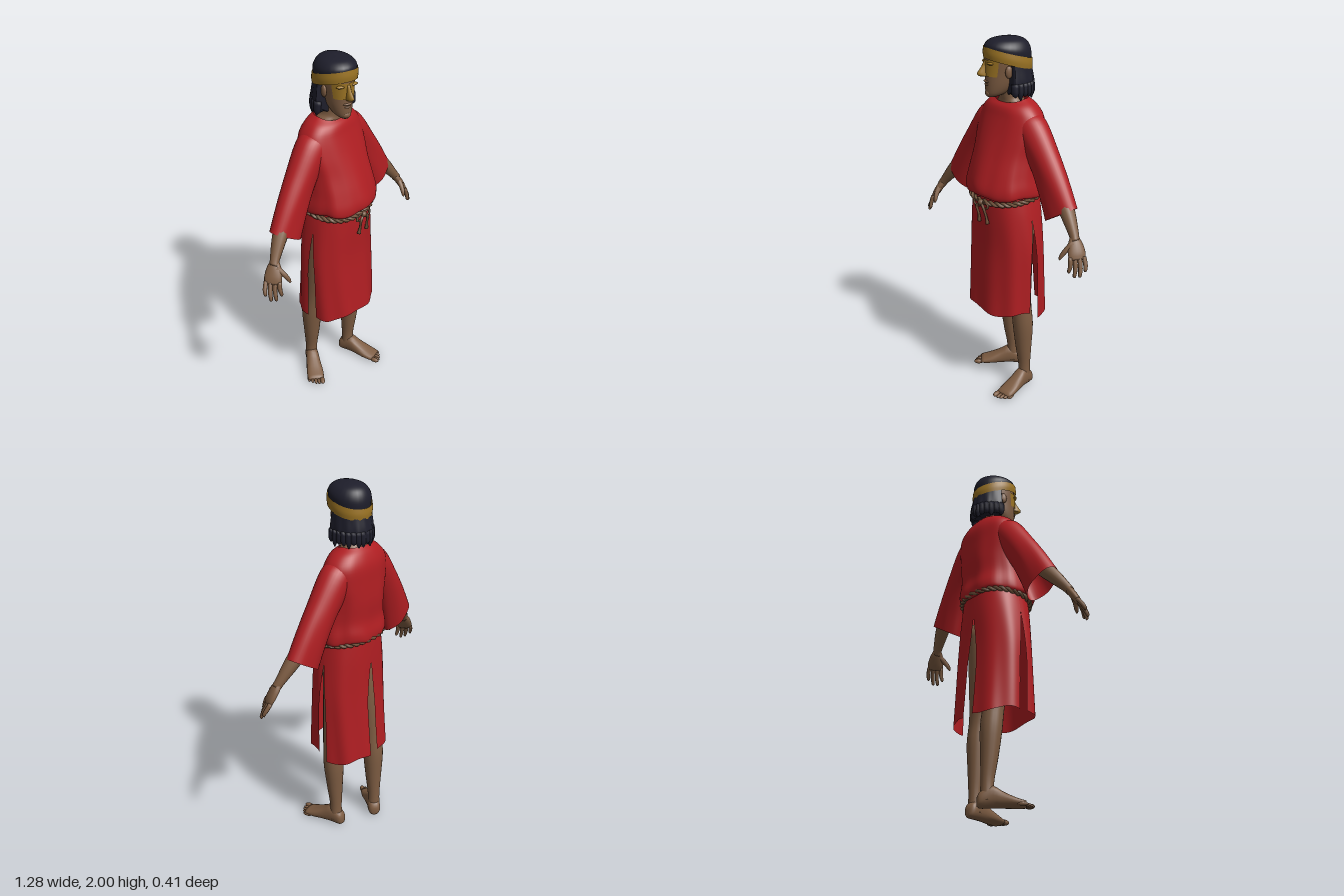
import * as THREE from 'three';

const paint = (name, color, open) => {
  const m = new THREE.MeshStandardMaterial({ color });
  m.name = name;
  if (open) m.side = THREE.DoubleSide;
  return m;
};
const X = new THREE.Vector3(1, 0, 0), Y = new THREE.Vector3(0, 1, 0), Z = new THREE.Vector3(0, 0, 1);
const soft = (c, p) => Math.sign(c) * Math.abs(c) ** p;

// Smooth skin through rings [x, y, z, a, b]; a and b are the radii along u and v.
// warp(angle, t) gives [scaleU, scaleV, dy]; arc(t) gives an open range of angles.
function loft(name, mat, rings, { u = X, v = Z, seg = 28, rows = 24, p = 1, warp, arc, caps = true } = {}) {
  const mid = new THREE.CatmullRomCurve3(rings.map(r => new THREE.Vector3(r[0], r[1], r[2])), false, 'catmullrom');
  const rad = new THREE.CatmullRomCurve3(rings.map(r => new THREE.Vector3(r[3], r[4], 0)), false, 'catmullrom');
  const pos = [], idx = [], w = seg + (arc ? 1 : 0);
  const flow = mid.getPoint(1).sub(mid.getPoint(0));
  const outward = new THREE.Vector3().crossVectors(u, v).dot(flow) > 0;
  const tri = (a, b, c) => outward ? idx.push(a, b, c) : idx.push(a, c, b);
  for (let i = 0; i <= rows; i++) {
    const t = i / rows, c = mid.getPoint(t), r = rad.getPoint(t);
    const [a0, a1] = arc ? arc(t) : [0, Math.PI * 2];
    for (let j = 0; j < w; j++) {
      const th = a0 + (a1 - a0) * j / seg;
      const [su, sv, dy] = warp ? warp(th, t) : [1, 1, 0];
      const q = c.clone().addScaledVector(u, r.x * su * soft(Math.cos(th), p))
        .addScaledVector(v, r.y * sv * soft(Math.sin(th), p));
      pos.push(q.x, q.y + dy, q.z);
    }
  }
  for (let i = 0; i < rows; i++) for (let j = 0; j < seg; j++) {
    const a = i * w + j, b = i * w + (j + 1) % w;
    tri(a, b, a + w);
    tri(b, b + w, a + w);
  }
  if (caps && !arc) for (const i of [0, rows]) {
    const c = mid.getPoint(i / rows), k = pos.length / 3;
    pos.push(c.x, c.y, c.z);
    for (let j = 0; j < seg; j++) {
      const a = i * w + j, b = i * w + (j + 1) % w;
      i ? tri(a, b, k) : tri(b, a, k);
    }
  }
  const g = new THREE.BufferGeometry();
  g.setAttribute('position', new THREE.Float32BufferAttribute(pos, 3));
  g.setIndex(idx);
  g.computeVertexNormals();
  const m = new THREE.Mesh(g, mat);
  m.name = name;
  return m;
}

// Round limb through points [x, y, z, r]
function limb(name, mat, pts, seg = 14, rows = 14) {
  const d = new THREE.Vector3(...pts.at(-1).slice(0, 3)).sub(new THREE.Vector3(...pts[0].slice(0, 3))).normalize();
  const u = new THREE.Vector3().crossVectors(Math.abs(d.z) > 0.9 ? Y : Z, d).normalize();
  const v = new THREE.Vector3().crossVectors(d, u);
  return loft(name, mat, pts.map(q => [...q, q[3]]), { u, v, seg, rows });
}

function ball(name, mat, x, y, z, sx, sy, sz) {
  const m = new THREE.Mesh(new THREE.SphereGeometry(1, 14, 10), mat);
  m.name = name;
  m.position.set(x, y, z);
  m.scale.set(sx, sy, sz);
  return m;
}

export function createModel() {
  const model = new THREE.Group();
  model.name = 'robedMan';
  const red = paint('redCloth', 0xb01e22, true), skin = paint('skin', 0x7d5c42);
  const hair = paint('hair', 0x1e1e2b), gold = paint('gold', 0x9c7424, true), rope = paint('rope', 0x70523a);

  // Blouse: loose top that bags out over the belt
  model.add(loft('blouse', red, [
    [0, 1.685, -0.05, 0.095, 0.07], [0, 1.65, -0.053, 0.155, 0.095], [0, 1.59, -0.055, 0.2, 0.115],
    [0, 1.5, -0.042, 0.208, 0.134], [0, 1.4, -0.025, 0.198, 0.155], [0, 1.3, -0.005, 0.202, 0.172],
    [0, 1.225, 0, 0.212, 0.189], [0, 1.185, 0, 0.208, 0.184], [0, 1.175, -0.005, 0.18, 0.152],
  ], {
    seg: 64, rows: 40, p: 0.9, caps: false,
    warp: (a, t) => {
      const k = 1 + 0.022 * t * Math.sin(7 * a + 4 * t) + 0.012 * t * Math.sin(13 * a);
      return [k, k, (t < 0.2 ? -0.02 * Math.max(0, Math.sin(a)) * (1 - t / 0.2) : 0) + 0.008 * t * Math.sin(5 * a)];
    },
  }));

  // Skirt: front panel and two back panels with slits between them
  const P = Math.PI;
  const panel = (name, from, to, hem) => model.add(loft(name, red, [
    [0, 1.19, -0.01, 0.18, 0.155], [0, 1.06, -0.012, 0.203, 0.157], [0, 0.88, -0.014, 0.222, 0.157],
    [0, 0.68, -0.014, 0.224, 0.169], [0, hem, -0.015, 0.222, 0.184],
  ], {
    seg: 36, p: 0.85,
    arc: t => { const gap = 0.1 * Math.min(1, Math.max(0, (t - 0.28) * 3)); return [from + gap, to - gap]; },
    warp: (a, t) => {
      const k = 1 + 0.022 * t * Math.sin(9 * a + 2 * t);
      return [k, k, 0.012 * t * t * Math.sin(4 * a)];
    },
  }));
  panel('frontSkirtPanel', 0, P, 0.505);
  panel('rightBackSkirtPanel', P, 1.5 * P, 0.49);
  panel('leftBackSkirtPanel', 1.5 * P, 2 * P, 0.47);

  // Belt: two twisted cords, with a knot, loops and loose ends
  for (const phase of [0, P]) {
    const pts = [];
    for (let i = 0; i < 96; i++) {
      const a = i / 96 * 2 * P, q = a * 16 + phase, r = 0.007 * Math.cos(q);
      pts.push(new THREE.Vector3((0.195 + r) * soft(Math.cos(a), 0.9),
        1.168 - 0.018 * Math.sin(a) + 0.007 * Math.sin(q), -0.008 + (0.167 + r) * soft(Math.sin(a), 0.9)));
    }
    const cord = new THREE.Mesh(new THREE.TubeGeometry(new THREE.CatmullRomCurve3(pts, true), 192, 0.009, 6, true), rope);
    cord.name = 'beltCord';
    model.add(cord);
  }
  model.add(ball('beltKnot', rope, 0, 1.145, 0.17, 0.018, 0.016, 0.016));
  for (const s of [-1, 1]) {
    model.add(limb('beltEnd', rope, [[0, 1.145, 0.17, 0.007], [s * 0.028, 1.12, 0.175, 0.008],
      [s * 0.03 + 0.008, 1.07, 0.165, 0.007], [s * 0.034 + 0.008, 1.03, 0.16, 0.011]], 8));
    const loop = new THREE.Mesh(new THREE.TorusGeometry(0.022, 0.006, 6, 16), rope);
    loop.name = 'beltLoop';
    loop.position.set(s * 0.03, 1.135, 0.168);
    loop.scale.set(1.2, 0.8, 1);
    model.add(loop);
  }

  // Arms: bell sleeves, forearms and hands
  for (const s of [-1, 1]) {
    const arm = new THREE.Group();
    arm.name = s > 0 ? 'leftArm' : 'rightArm';
    arm.add(loft('sleeve', red, [
      [s * 0.08, 1.6, -0.052, 0.06, 0.06], [s * 0.14, 1.545, -0.052, 0.094, 0.083], [s * 0.255, 1.395, -0.048, 0.092, 0.075],
      [s * 0.33, 1.27, -0.042, 0.1, 0.07], [s * 0.395, 1.14, -0.035, 0.112, 0.065],
    ], {
      u: new THREE.Vector3(s * 0.85, 0.53, 0), v: Z, seg: 36, caps: false,
      warp: (a, t) => { const k = 1 + 0.035 * t * Math.sin(5 * a + 5 * t); return [1, k, 0]; },
    }));
    const L = pts => pts.map(q => [s * q[0], ...q.slice(1)]);
    arm.add(limb('forearm', skin, L([[0.3, 1.36, -0.045, 0.045], [0.4, 1.235, -0.035, 0.045],
      [0.465, 1.16, -0.018, 0.038], [0.525, 1.085, 0.002, 0.026], [0.545, 1.055, 0.012, 0.024]])));
    arm.add(loft('palm', skin, L([[0.53, 1.08, 0.005, 0.02, 0.018], [0.55, 1.045, 0.015, 0.038, 0.021],
      [0.572, 1.005, 0.026, 0.046, 0.019], [0.586, 0.975, 0.034, 0.042, 0.013]]), {
      u: new THREE.Vector3(s * -0.5, 0, 0.86), v: new THREE.Vector3(s * 0.8, 0.36, 0.46), seg: 16, rows: 10,
    }));
    const tips = [[0.572, 0.91, 0.078], [0.6, 0.89, 0.066], [0.622, 0.895, 0.05], [0.632, 0.92, 0.022]];
    tips.forEach(([x, y, z], i) => {
      const k = 1.5 - i, bx = 0.582 - k * 0.012, bz = 0.032 + k * 0.02;
      arm.add(limb('finger', skin, L([[bx, 0.988, bz, 0.012], [(bx + x) / 2 + 0.006, (0.988 + y) / 2, (bz + z) / 2, 0.0115],
        [x, y + 0.01, z, 0.009], [x, y, z, 0.004]]), 8, 8));
    });
    arm.add(limb('thumb', skin, L([[0.545, 1.05, 0.025, 0.018], [0.53, 1.015, 0.062, 0.014],
      [0.518, 0.985, 0.082, 0.011], [0.514, 0.967, 0.09, 0.005]]), 8, 8));
    model.add(arm);
  }

  // Legs and bare feet: the left leg stands ahead of the right
  const leg = (name, hip, knee, calf, ankle, turn) => {
    const g = new THREE.Group();
    g.name = name;
    g.add(limb('shin', skin, [[hip[0], 1.05, hip[1], 0.085], [hip[0], 0.8, (hip[1] + knee[1]) / 2, 0.08],
      [knee[0], 0.55, knee[1], 0.058], [calf[0], 0.4, calf[1], 0.057], [(calf[0] + ankle[0]) / 2, 0.25, (calf[1] + ankle[1]) / 2, 0.045],
      [ankle[0], 0.13, ankle[1], 0.034], [ankle[0], 0.03, ankle[1], 0.036]], 20, 24));
    const foot = new THREE.Group();
    foot.name = 'foot';
    foot.position.set(ankle[0], 0, ankle[1]);
    foot.rotation.y = turn;
    foot.add(loft('sole', skin, [[0, 0.03, -0.052, 0.015, 0.02], [0, 0.04, -0.035, 0.034, 0.04], [0, 0.056, 0.02, 0.037, 0.056],
      [0, 0.041, 0.075, 0.042, 0.041], [0, 0.026, 0.135, 0.049, 0.026], [0, 0.017, 0.19, 0.046, 0.015]], { u: X, v: Y, seg: 20, rows: 16, p: 0.85 }));
    for (let i = 0; i < 5; i++) {
      const r = i ? 0.0095 : 0.014;
      foot.add(ball('toe', skin, -Math.sign(turn) * (0.034 - i * 0.0185 - (i ? 0.002 : 0)), r + 0.002, 0.205 - i * i * 0.002, r, r, 0.027));
    }
    g.add(foot);
    model.add(g);
  };
  leg('leftLeg', [0.095, -0.02], [0.125, -0.008], [0.135, -0.016], [0.135, -0.03], 0.15);
  leg('rightLeg', [-0.095, -0.03], [-0.095, -0.105], [-0.092, -0.122], [-0.083, -0.138], -0.75);

  // Neck
  model.add(loft('neck', skin, [[0, 1.6, -0.05, 0.12, 0.08], [0, 1.66, -0.048, 0.085, 0.065],
    [0, 1.7, -0.035, 0.056, 0.056], [0, 1.82, -0.015, 0.055, 0.056]]));

  // Head, turned a little to its right
  const head = new THREE.Group();
  head.name = 'head';
  head.position.z = -0.02;
  head.rotation.y = -0.35;
  const face = [[0, 1.695, 0.085, 0.022, 0.028], [0, 1.715, 0.062, 0.044, 0.058], [0, 1.76, 0.034, 0.062, 0.088],
    [0, 1.82, 0.016, 0.072, 0.106], [0, 1.88, 0.006, 0.08, 0.116], [0, 1.93, 0, 0.078, 0.112], [0, 1.97, 0, 0.05, 0.075]];
  head.add(loft('face', skin, face));
  head.add(loft('goldFacePaint', gold, [[0, 1.805, 0.021, 0.073, 0.107], [0, 1.85, 0.012, 0.079, 0.115], [0, 1.89, 0.007, 0.084, 0.12]],
    { arc: () => [0.6, P - 0.6], seg: 16, rows: 6 }));
  head.add(loft('nose', gold, [[0, 1.88, 0.122, 0.008, 0.008], [0, 1.85, 0.128, 0.011, 0.018],
    [0, 1.82, 0.136, 0.016, 0.032], [0, 1.805, 0.13, 0.018, 0.026]], { seg: 12, rows: 10 }));
  head.add(ball('upperLip', skin, 0, 1.776, 0.117, 0.026, 0.007, 0.012));
  head.add(ball('lowerLip', skin, 0, 1.76, 0.115, 0.021, 0.007, 0.011));
  head.add(ball('chin', skin, 0, 1.715, 0.108, 0.024, 0.019, 0.016));
  for (const s of [-1, 1]) {
    head.add(ball('ear', skin, s * 0.08, 1.83, 0.025, 0.012, 0.032, 0.02));
    head.add(ball('brow', gold, s * 0.034, 1.872, 0.11, 0.028, 0.008, 0.014));
  }

  // Hair: crown, hanging back and ragged ends
  head.add(loft('hairCrown', hair, [[0, 1.89, 0, 0.1, 0.12], [0, 1.94, 0, 0.104, 0.122], [0, 1.975, -0.004, 0.082, 0.1],
    [0, 1.992, -0.006, 0.048, 0.062], [0, 2, -0.006, 0.008, 0.01]], { warp: (a, t) => [1, 1, 0.033 * Math.sin(a) * (1 - t) ** 2] }));
  head.add(loft('hangingHair', hair, [[0, 1.9, 0, 0.1, 0.118], [0, 1.84, 0, 0.106, 0.127], [0, 1.77, 0, 0.113, 0.138], [0, 1.715, 0, 0.106, 0.134]], {
    seg: 48,
    warp: (a, t) => {
      const k = 1 + 0.035 * t * Math.sin(15 * a + 3 * t);
      return [k, k * (Math.sin(a) > 0 ? 0.15 : 1), 0.008 * t * t * Math.sin(11 * a)];
    },
  }));
  for (let i = 0; i < 15; i++) {
    const a = P + P * i / 14, x = Math.cos(a), z = Math.sin(a);
    head.add(limb('hairLock', hair, [[x * 0.1, 1.77, z * 0.122, 0.02], [x * 0.104, 1.72, z * 0.128, 0.018],
      [x * 0.108, 1.695 + 0.01 * Math.sin(i * 2.3), z * 0.134, 0.003]], 7, 6));
  }

  // Headband, tilted down at the back
  head.add(loft('headband', gold, [[0, 1.92, 0, 0.108, 0.127], [0, 1.89, 0, 0.111, 0.13], [0, 1.862, 0, 0.108, 0.127]],
    { seg: 40, rows: 6, caps: false, warp: a => [1, 1, 0.034 * Math.sin(a)] }));
  model.add(head);
  return model;
}
